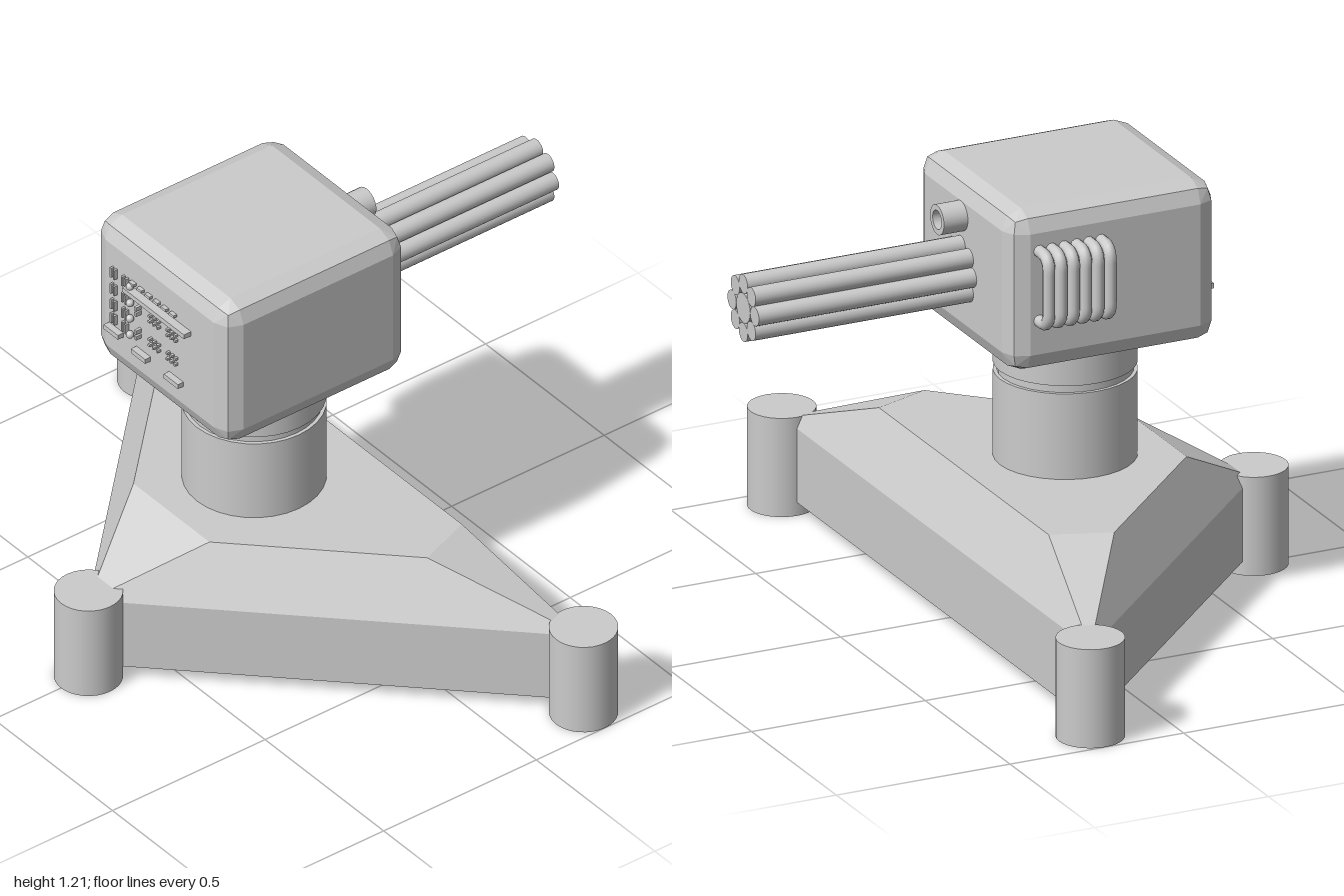
import * as THREE from 'three';
import { ConvexGeometry } from 'three/addons/geometries/ConvexGeometry.js';

const grey = new THREE.MeshStandardMaterial({ color: 0xcccccc });
const flat = new THREE.MeshStandardMaterial({ color: 0xcccccc, flatShading: true });

function add(parent, name, geometry, x = 0, y = 0, z = 0, material = grey) {
  const mesh = new THREE.Mesh(geometry, material);
  mesh.name = name;
  mesh.position.set(x, y, z);
  parent.add(mesh);
  return mesh;
}

// Upright cylinder between two heights
function post(parent, name, r, y0, y1, x, z) {
  return add(parent, name, new THREE.CylinderGeometry(r, r, y1 - y0, 32), x, (y0 + y1) / 2, z);
}

// Box with a two-step bevel on every edge
function bevelledBox(w, h, d, r) {
  const points = [];
  const k = Math.SQRT1_2, c = 1 / Math.sqrt(3);
  const dirs = [[1, 0, 0], [0, 1, 0], [0, 0, 1], [k, k, 0], [k, 0, k], [0, k, k], [c, c, c]];
  for (const sx of [-1, 1]) for (const sy of [-1, 1]) for (const sz of [-1, 1]) {
    for (const [x, y, z] of dirs) {
      points.push(new THREE.Vector3(
        sx * (w / 2 - r + r * x), sy * (h / 2 - r + r * y), sz * (d / 2 - r + r * z)));
    }
  }
  return new ConvexGeometry(points);
}

function buildBase(model) {
  const base = new THREE.Group();
  base.name = 'base';
  model.add(base);
  const feet = [[-0.91, -0.225], [0.91, -0.225], [0, 0.69]];

  // Triangular slab whose sides slope in to a six-sided deck
  const points = [];
  for (const [x, z] of feet) {
    points.push(new THREE.Vector3(x, 0.037, z), new THREE.Vector3(x, 0.242, z));
  }
  for (const s of [-1, 1]) {
    for (const [x, z] of [[0.5, -0.145], [0.56, 0.015], [0.16, 0.418]]) {
      points.push(new THREE.Vector3(s * x, 0.4, z));
    }
  }
  add(base, 'slab', new ConvexGeometry(points), 0, 0, 0, flat);
  for (const [x, z] of feet) post(base, 'foot', 0.09, 0, 0.274, x, z);
}

function buildColumn(model) {
  const column = new THREE.Group();
  column.name = 'column';
  model.add(column);
  post(column, 'lowerColumn', 0.188, 0.39, 0.638, 0, 0.147);
  post(column, 'swivelGroove', 0.178, 0.63, 0.67, 0, 0.147);
  post(column, 'upperColumn', 0.188, 0.66, 0.79, 0, 0.147);
}

function buildBarrels(head) {
  const barrels = new THREE.Group();
  barrels.name = 'barrels';
  barrels.position.set(0, 0.963, -0.455);
  head.add(barrels);
  const rod = (name, r, x, y) => {
    add(barrels, name, new THREE.CylinderGeometry(r, r, 0.65, 20), x, y, 0).rotation.x = Math.PI / 2;
  };
  rod('coreBarrel', 0.041, 0, 0);
  for (let i = 0; i < 8; i++) {
    const a = (i * Math.PI) / 4;
    rod('barrel', 0.026, 0.067 * Math.cos(a), 0.067 * Math.sin(a));
  }
}

// Hollow sight above the barrels
function buildSight(head) {
  const profile = [[0, 0.02], [0.026, 0.02], [0.026, 0.08], [0.041, 0.08], [0.041, 0]];
  const points = [];
  // Doubled corners keep the rims sharp
  profile.forEach(([r, y], i) => {
    points.push(new THREE.Vector2(r, y));
    if (i > 0 && i < 4) points.push(new THREE.Vector2(r, y));
  });
  const material = new THREE.MeshStandardMaterial({ color: 0xcccccc, side: THREE.DoubleSide });
  const sight = add(head, 'sight', new THREE.LatheGeometry(points, 24), 0, 1.112, -0.142, material);
  sight.rotation.x = -Math.PI / 2;
}

// Six bent pipes on the right side
function buildPipes(head) {
  const path = new THREE.CurvePath();
  const v = (x, y) => new THREE.Vector3(x, y, 0);
  const r = 0.04, outer = -0.352, inner = -0.28, top = 1.104, low = 0.91;
  path.add(new THREE.LineCurve3(v(inner, top), v(outer + r, top)));
  path.add(new THREE.QuadraticBezierCurve3(v(outer + r, top), v(outer, top), v(outer, top - r)));
  path.add(new THREE.LineCurve3(v(outer, top - r), v(outer, low + r)));
  path.add(new THREE.QuadraticBezierCurve3(v(outer, low + r), v(outer, low), v(outer + r, low)));
  path.add(new THREE.LineCurve3(v(outer + r, low), v(inner, low)));
  const geometry = new THREE.TubeGeometry(path, 40, 0.0165, 10);
  for (let i = 0; i < 6; i++) add(head, 'sidePipe', geometry, 0, 0, -0.072 + i * 0.0355);
}

// Small raised controls on the front face
function buildPanel(head) {
  const panel = new THREE.Group();
  panel.name = 'controlPanel';
  panel.position.z = 0.448;
  head.add(panel);
  const key = (name, x, y, w, h, d = 0.02) =>
    add(panel, name, new THREE.BoxGeometry(w, h, d), x, y, 0);

  // Two columns of paired slots
  for (const x of [-0.2, -0.152]) {
    for (const y of [1.072, 1.02, 0.97, 0.925]) {
      for (const s of [-1, 1]) key('slot', x + s * 0.007, y, 0.006, 0.03);
    }
  }
  // Dashed row above a long bar
  for (let i = 0; i < 6; i++) key('dash', -0.12 + i * 0.034, 1.085, 0.02, 0.008);
  key('bar', -0.01, 1.062, 0.26, 0.014, 0.045);
  // Button grid
  for (const y of [1.025, 1.008, 0.95, 0.932]) {
    key('button', -0.092, y, 0.008, 0.012, 0.035);
    for (const x of [-0.045, -0.028, -0.011, 0.03, 0.046, 0.062]) {
      key('button', x, y, 0.007, 0.007);
    }
  }
  // Handles along the bottom
  for (const [x, y] of [[-0.195, 0.89], [-0.08, 0.88], [0.058, 0.88]]) {
    key('handle', x, y, 0.06, 0.014, 0.035);
  }
  // Round knobs
  for (const y of [1.075, 1.022, 0.972, 0.92]) {
    add(panel, 'knob', new THREE.SphereGeometry(0.011, 10, 8), -0.125, y, 0.009);
  }
}

export function createModel() {
  const model = new THREE.Group();
  model.name = 'turret';
  buildBase(model);
  buildColumn(model);

  const head = new THREE.Group();
  head.name = 'head';
  model.add(head);
  add(head, 'housing', bevelledBox(0.566, 0.447, 0.6, 0.055), -0.013, 0.985, 0.147, flat);
  buildBarrels(head);
  buildSight(head);
  buildPipes(head);
  buildPanel(head);
  return model;
}
